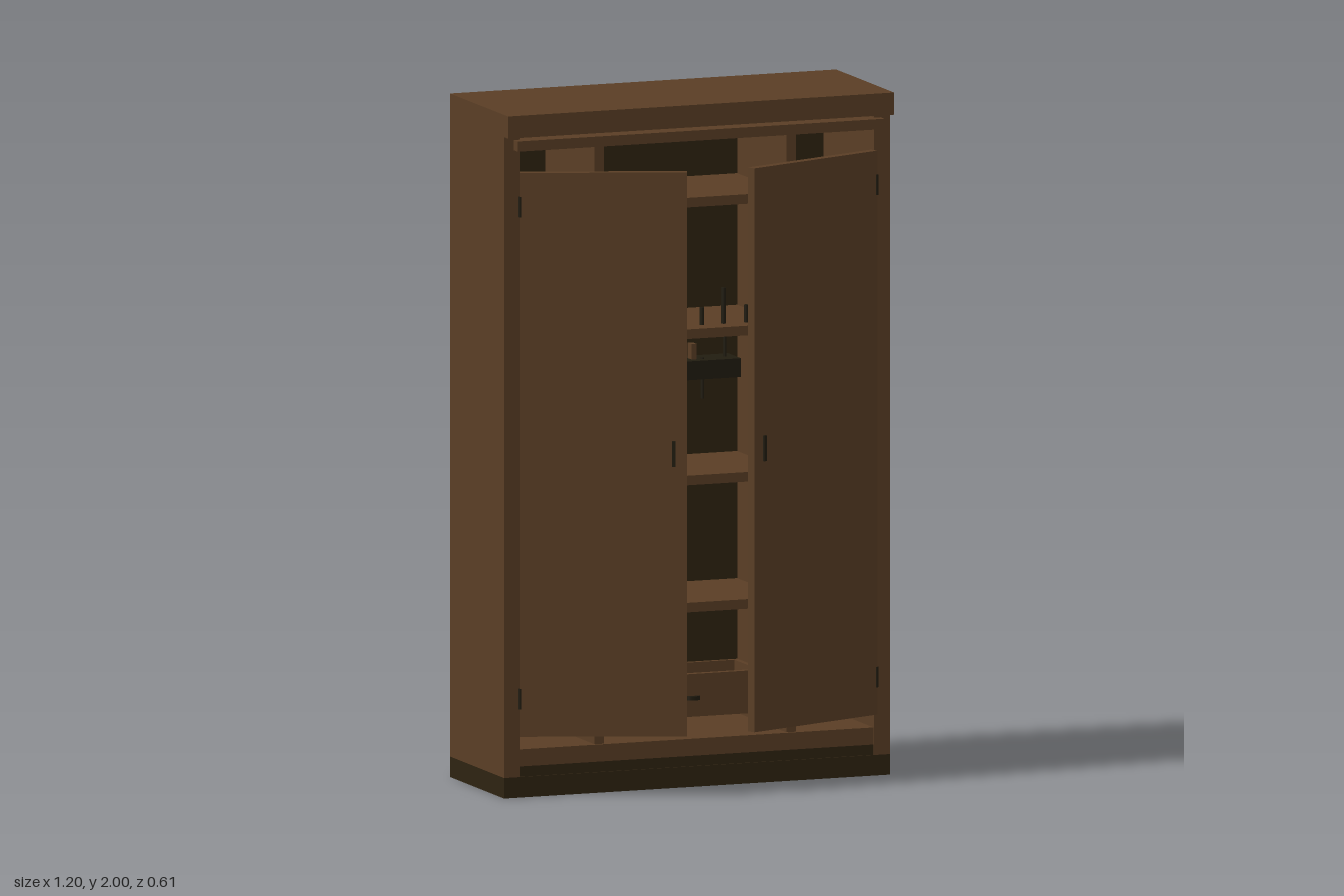
import * as THREE from 'three';

export function createModel() {
  const root = new THREE.Group();
  root.name = 'wardrobe';
  const mat = (name, color) => Object.assign(new THREE.MeshStandardMaterial({ color }), { name });
  const wood = mat('brown wood', 0x5a3e25);
  const dark = mat('dark wood', 0x2e2311);
  const iron = mat('dark metal', 0x211c10);

  // box given by its limits on each axis
  const box = (name, m, x0, x1, y0, y1, z0, z1, parent = root) => {
    const mesh = new THREE.Mesh(new THREE.BoxGeometry(x1 - x0, y1 - y0, z1 - z0), m);
    mesh.position.set((x0 + x1) / 2, (y0 + y1) / 2, (z0 + z1) / 2);
    mesh.name = name;
    parent.add(mesh);
    return mesh;
  };
  // upright round rod
  const rod = (name, m, r, x, y0, y1, z, parent = root) => {
    const mesh = new THREE.Mesh(new THREE.CylinderGeometry(r, r, y1 - y0, 10), m);
    mesh.position.set(x, (y0 + y1) / 2, z);
    mesh.name = name;
    parent.add(mesh);
    return mesh;
  };

  // carcass
  box('plinth', dark, -0.6, 0.6, 0, 0.06, -0.305, 0.12);
  box('plinthRiser', dark, -0.55, 0.55, 0.06, 0.09, -0.285, 0.115);
  box('bottomBoard', wood, -0.55, 0.55, 0.09, 0.14, -0.297, 0.115);
  box('topBoard', wood, -0.55, 0.55, 1.895, 1.925, -0.297, 0.12);
  box('moulding', wood, -0.57, 0.57, 1.895, 1.925, 0.12, 0.15);
  box('crown', wood, -0.6, 0.6, 1.935, 2, -0.305, 0.15);
  box('backPanel', dark, -0.55, 0.55, 0.14, 1.895, -0.295, -0.28);

  // sides, partitions and doors, mirrored
  for (const s of [-1, 1]) {
    const side = s > 0 ? 'left' : 'right';
    box(side + 'Side', wood, s * 0.575 - 0.025, s * 0.575 + 0.025, 0.06, 1.935, -0.305, 0.12);
    box(side + 'Partition', wood, s * 0.298 - 0.015, s * 0.298 + 0.015, 0.14, 1.895, -0.28, 0.105);

    const door = new THREE.Group();
    door.name = side + 'Door';
    door.position.set(s * 0.55, 0, 0.12);
    door.rotation.y = s * 0.367;
    const cx = -s * 0.241;
    box(side + 'DoorPanel', wood, cx - 0.241, cx + 0.241, 0.18, 1.83, -0.0135, 0.0135, door);
    const hx = -s * 0.444;
    box(side + 'DoorHandle', iron, hx - 0.005, hx + 0.005, 0.97, 1.045, 0.0135, 0.02, door);
    for (const y of [0.26, 1.7]) rod(side + 'Hinge', iron, 0.006, 0, y, y + 0.06, 0.01, door);
    root.add(door);
  }

  // middle shelves
  for (const y of [0.52, 0.892, 1.32, 1.705]) {
    box('shelf', wood, -0.283, 0.283, y - 0.014, y + 0.014, -0.28, 0.09);
  }

  // open drawer box with a half-round pull
  box('drawerFront', wood, -0.28, 0.28, 0.215, 0.325, 0.07, 0.09);
  box('drawerBase', wood, -0.28, 0.28, 0.2, 0.215, -0.27, 0.09);
  box('drawerBack', wood, -0.28, 0.28, 0.215, 0.3, -0.27, -0.255);
  for (const s of [-1, 1]) {
    box('drawerSide', wood, s * 0.272 - 0.008, s * 0.272 + 0.008, 0.215, 0.3, -0.255, 0.07);
  }
  const pull = new THREE.Mesh(new THREE.CylinderGeometry(0.02, 0.02, 0.012, 16, 1, false, -Math.PI / 2, Math.PI), iron);
  pull.name = 'drawerPull';
  pull.position.set(0, 0.255, 0.09);
  pull.scale.z = 0.6;
  root.add(pull);

  // pegs standing on the shelf
  [-0.225, -0.16, -0.085, -0.018, 0.052, 0.12, 0.19].forEach((x, i) => {
    rod('peg', iron, 0.007, x, 1.334, i % 2 ? 1.44 : 1.385, 0.025);
  });

  // trays hung beneath the shelf, with rods below
  for (const [x0, x1] of [[-0.26, -0.12], [-0.045, 0.16]]) {
    box('hangingTray', iron, x0, x1, 1.18, 1.235, -0.04, 0.06);
    for (const x of [x0 + 0.03, x1 - 0.03]) rod('trayHanger', iron, 0.005, x, 1.235, 1.306, 0.01);
  }
  box('trayBlock', wood, 0.018, 0.034, 1.235, 1.28, 0.0, 0.03);
  for (const x of [-0.19, -0.085, 0.052]) rod('hangingRod', iron, 0.005, x, 1.12, 1.24, 0.03);

  return root;
}
